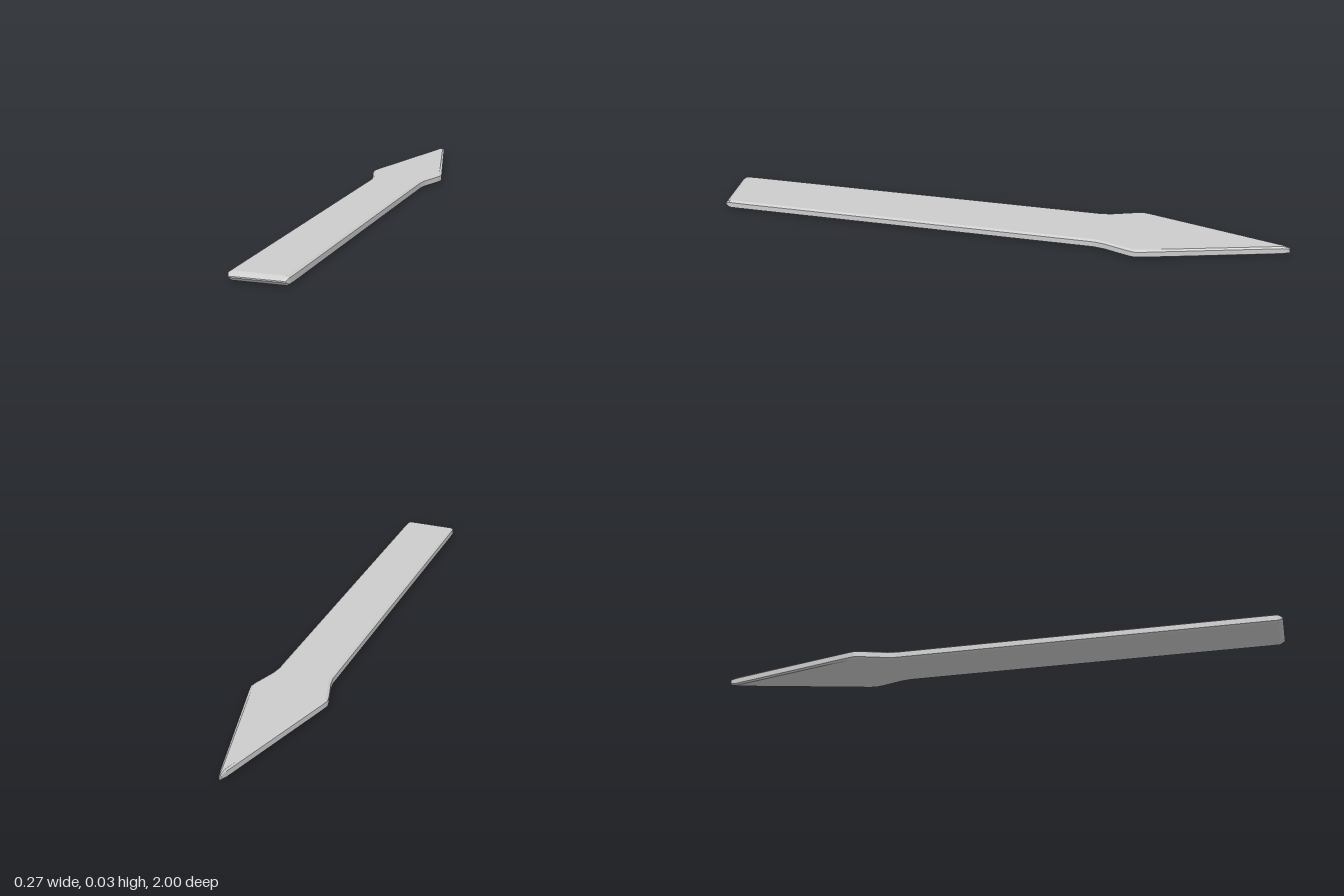
import * as THREE from 'three';

// Lofts a bevelled flat bar through stations [z, half width, half thickness].
function loftBar(stations, midY) {
  const pos = [], idx = [], n = 8;
  for (const [z, w, h] of stations) {
    const b = Math.min(0.009, w * 0.6);
    const side = [[w - b, h], [w, h * 0.65], [w, -h * 0.65], [w - b, -h]];
    const ring = [...side, ...side.map(([x, y]) => [-x, -y])];
    for (const [x, y] of ring) pos.push(x, midY + y, z);
  }
  // skin between neighbouring stations
  for (let i = 0; i < stations.length - 1; i++) {
    for (let k = 0; k < n; k++) {
      const a = i * n + k, b = i * n + (k + 1) % n;
      idx.push(a, a + n, b, b, a + n, b + n);
    }
  }
  // end caps
  const last = (stations.length - 1) * n;
  for (let k = 1; k < n - 1; k++) {
    idx.push(0, k, k + 1, last, last + k + 1, last + k);
  }
  const g = new THREE.BufferGeometry();
  g.setAttribute('position', new THREE.Float32BufferAttribute(pos, 3));
  g.setIndex(idx);
  const flat = g.toNonIndexed();
  flat.computeVertexNormals();
  return flat;
}

export function createModel() {
  const group = new THREE.Group();
  group.name = 'spearPointBar';
  const material = new THREE.MeshStandardMaterial({ color: 0xcccccc, flatShading: true });

  const T = 0.015; // half thickness
  const stations = [
    // pointed head
    [-1, 0.003, 0.009], [-0.975, 0.01, T],
    [-0.51, 0.13, T], [-0.485, 0.135, T], [-0.46, 0.13, T],
    // neck
    [-0.375, 0.103, T], [-0.34, 0.097, T],
    // straight shaft with a wedge-shaped end
    [0.95, 0.097, T], [0.983, 0.096, T], [0.99, 0.094, 0.011], [1, 0.09, 0.002],
  ];
  const bar = new THREE.Mesh(loftBar(stations, T), material);
  bar.name = 'pointedBar';
  group.add(bar);
  return group;
}
